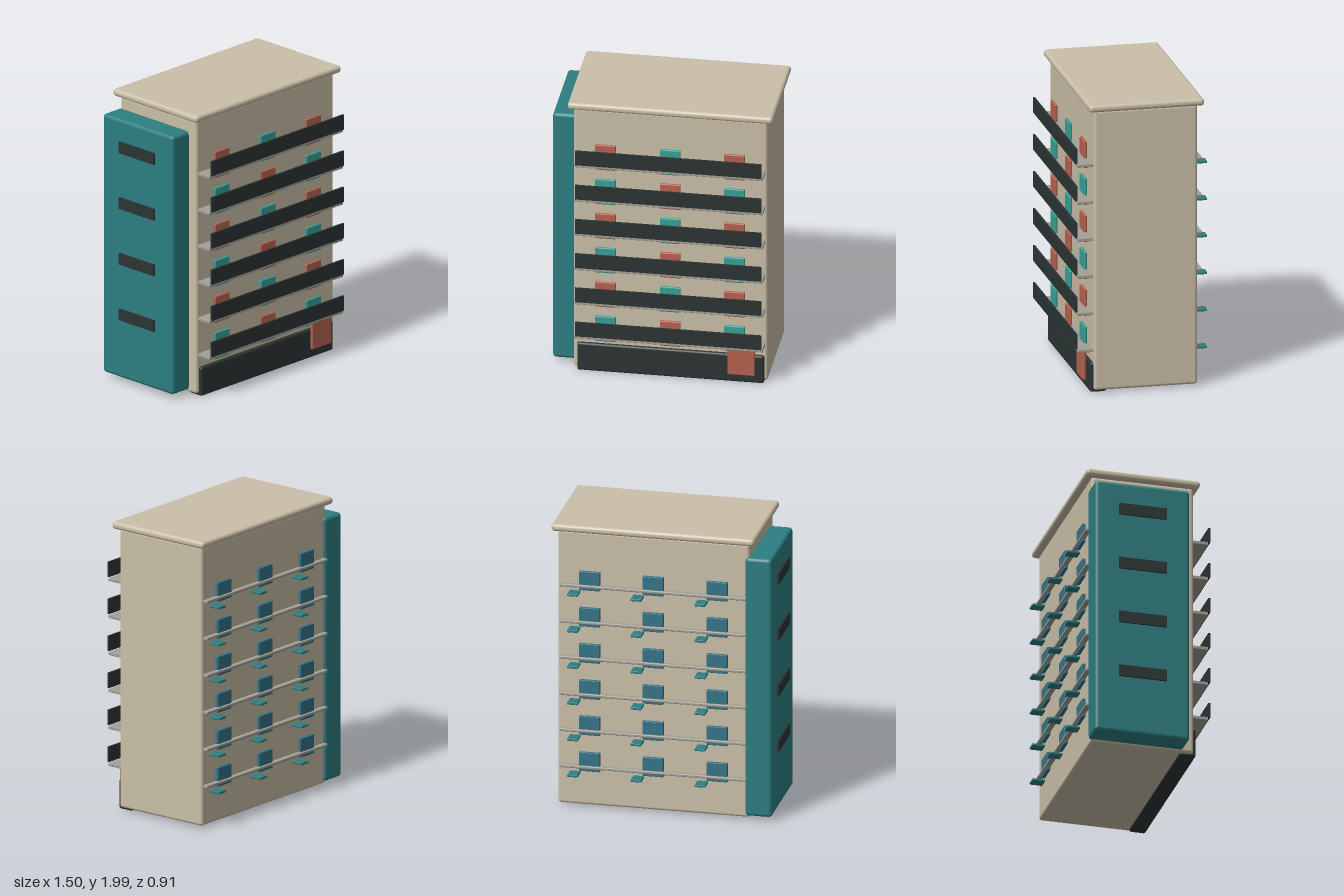
import * as THREE from 'three';
import { RoundedBoxGeometry } from 'three/addons/geometries/RoundedBoxGeometry.js';

const material = (name, color) => {
  const m = new THREE.MeshStandardMaterial({ color });
  m.name = name;
  return m;
};

// Box given by its [min, max] range on each axis; rounded when r > 0
function box(parent, name, mat, [x0, x1], [y0, y1], [z0, z1], r = 0) {
  const w = x1 - x0, h = y1 - y0, d = z1 - z0;
  const geo = r > 0 ? new RoundedBoxGeometry(w, h, d, 3, r) : new THREE.BoxGeometry(w, h, d);
  const mesh = new THREE.Mesh(geo, mat);
  mesh.name = name;
  mesh.position.set((x0 + x1) / 2, (y0 + y1) / 2, (z0 + z1) / 2);
  parent.add(mesh);
  return mesh;
}

const around = (c, size) => [c - size / 2, c + size / 2];

export function createModel() {
  const cream = material('cream', 0xcabfa8);
  const teal = material('deep teal', 0x2c7e81);
  const aqua = material('aqua', 0x37a197);
  const red = material('brick red', 0xb76250);
  const dark = material('charcoal', 0x2c3434);
  const grey = material('warm grey', 0xa3a096);
  const blue = material('slate blue', 0x357488);

  const model = new THREE.Group();
  model.name = 'rackCabinet';

  // Cabinet body, overhanging lid and front plinth
  box(model, 'cabinetBody', cream, [-0.59, 0.71], [0.02, 1.95], [-0.37, 0.333], 0.02);
  box(model, 'lid', cream, [-0.627, 0.749], [1.947, 1.997], [-0.41, 0.37], 0.022);
  box(model, 'plinth', dark, [-0.565, 0.688], [0.004, 0.208], [0.243, 0.355], 0.015);
  box(model, 'plinthBadge', red, [0.449, 0.632], [0.074, 0.277], [0.368, 0.392], 0.008);

  // Side housing with four vents
  const side = new THREE.Group();
  side.name = 'sideHousing';
  model.add(side);
  box(side, 'housing', teal, [-0.743, -0.56], [0.035, 1.858], [-0.386, 0.264], 0.025);
  for (let i = 0; i < 4; i++) {
    box(side, 'vent', dark, [-0.756, -0.735], around(1.664 - i * 0.393, 0.08), [-0.222, 0.102]);
  }

  // Six storage rows: front shelf with guard and cards, back rail with holders
  const columns = [-0.373, 0.061, 0.492];
  for (let row = 0; row < 6; row++) {
    const y = 1.571 - row * 0.2555;
    const group = new THREE.Group();
    group.name = 'storageRow';
    model.add(group);
    box(group, 'shelf', grey, [-0.572, 0.694], around(y, 0.023), [0.33, 0.438], 0.004);
    box(group, 'shelfGuard', dark, [-0.563, 0.685], [y + 0.013, y + 0.118], [0.441, 0.454]);
    box(group, 'backRail', grey, [-0.572, 0.694], around(y, 0.02), [-0.405, -0.368], 0.006);

    columns.forEach((x, col) => {
      const cardColor = (row + col) % 2 ? aqua : red;
      box(group, 'frontCard', cardColor, around(x, 0.138), around(y + 0.036, 0.186), [0.346, 0.365], 0.007);
      box(group, 'backCard', blue, around(x, 0.14), [y - 0.03, y + 0.102], [-0.392, -0.368], 0.004);
      box(group, 'backTab', teal, around(x + 0.101, 0.072), around(y - 0.047, 0.017), [-0.455, -0.368], 0.004);
    });
  }
  return model;
}
